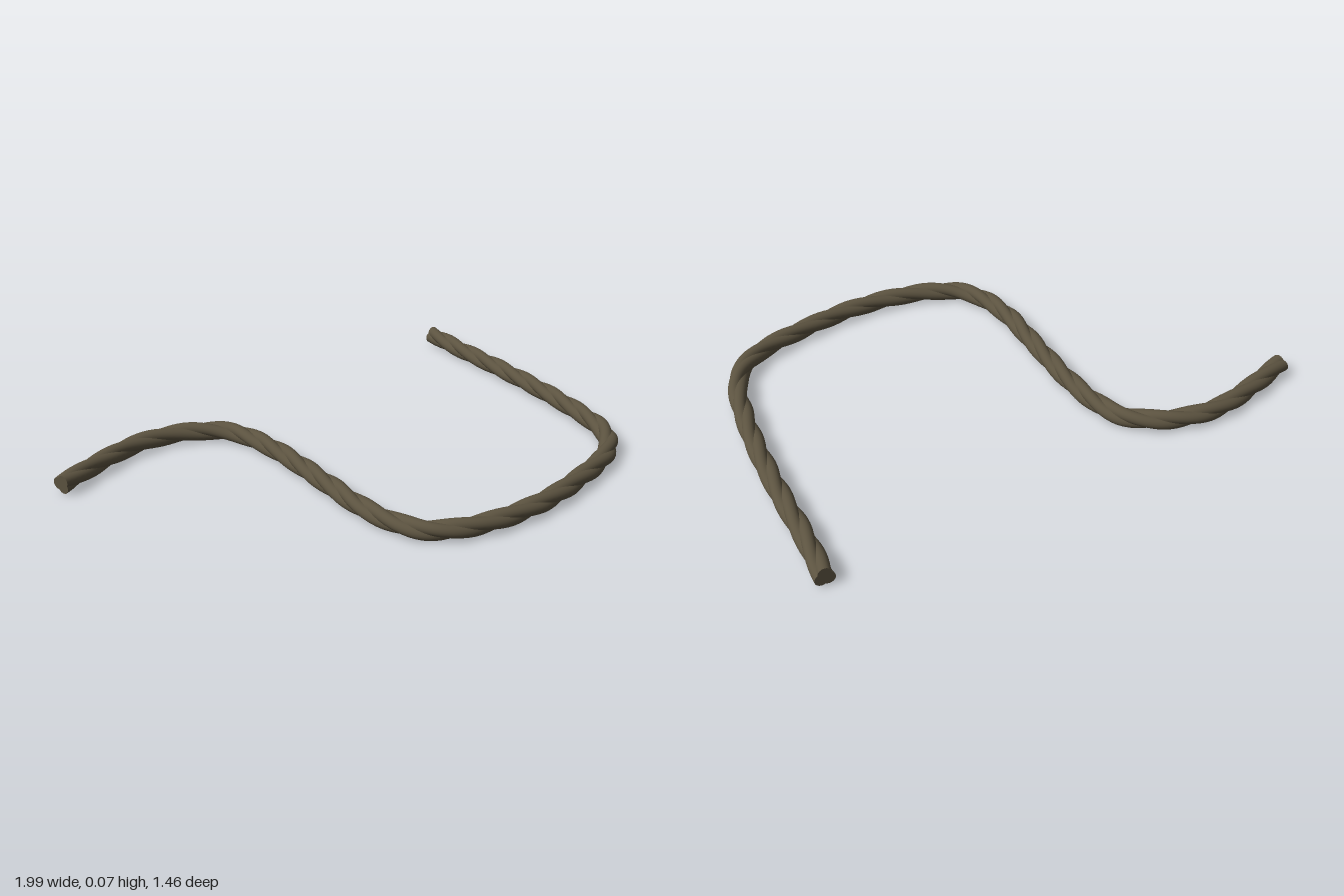
import * as THREE from 'three';

const STRANDS = 3;       // lobes laid around the rope axis
const OFFSET = 0.014;    // strand centre to rope axis
const RADIUS = 0.023;    // strand radius
const PITCH = 0.48;      // length of one full turn
const RINGS = 320;
const ARC = 10;          // facets across one strand

// Rope centreline on the ground, as x, z
const path = new THREE.CatmullRomCurve3([
  [-0.98, -0.27], [-0.80, -0.36], [-0.66, -0.415], [-0.54, -0.43], [-0.40, -0.405],
  [-0.29, -0.335], [-0.235, -0.22], [-0.20, -0.065], [-0.17, 0.19], [-0.145, 0.405],
  [-0.095, 0.555], [-0.03, 0.635], [0.085, 0.68], [0.245, 0.693], [0.43, 0.67],
  [0.62, 0.61], [0.81, 0.525], [0.90, 0.44], [0.945, 0.335], [0.96, 0.14],
  [0.955, -0.075], [0.935, -0.315], [0.91, -0.53], [0.895, -0.73],
].map(([x, z]) => new THREE.Vector3(x, OFFSET + RADIUS, z)), false, 'centripetal');
path.arcLengthDivisions = 1000;

// Point on one strand: t along the rope, a across the strand
function surfacePoint(t, strand, a) {
  const centre = path.getPointAt(t);
  const up = new THREE.Vector3(0, 1, 0);
  const side = new THREE.Vector3().crossVectors(up, path.getTangentAt(t)).normalize();
  const rho = OFFSET * Math.cos(a) + Math.sqrt(RADIUS ** 2 - (OFFSET * Math.sin(a)) ** 2);
  const phi = a + Math.PI * 2 * (strand / STRANDS + t * path.getLength() / PITCH);
  return centre.addScaledVector(side, rho * Math.cos(phi)).addScaledVector(up, rho * Math.sin(phi));
}

const arcAngle = (j) => (j / ARC - 0.5) * (Math.PI * 2 / STRANDS);

function makeGeometry(points, index) {
  const g = new THREE.BufferGeometry().setFromPoints(points);
  g.setIndex(index);
  g.computeVertexNormals();
  return g;
}

// Twisted outer face of one strand; separate strands keep the grooves sharp
function strandGeometry(strand) {
  const points = [], index = [];
  for (let i = 0; i <= RINGS; i++) {
    for (let j = 0; j <= ARC; j++) points.push(surfacePoint(i / RINGS, strand, arcAngle(j)));
  }
  for (let i = 0; i < RINGS; i++) {
    for (let j = 0; j < ARC; j++) {
      const a = i * (ARC + 1) + j, c = a + ARC + 1;
      index.push(a, a + 1, c, a + 1, c + 1, c);
    }
  }
  return makeGeometry(points, index);
}

// Flat cut end
function capGeometry(t) {
  const points = [path.getPointAt(t)], index = [];
  for (let s = 0; s < STRANDS; s++) {
    for (let j = 0; j < ARC; j++) points.push(surfacePoint(t, s, arcAngle(j)));
  }
  const n = STRANDS * ARC;
  for (let k = 0; k < n; k++) {
    const a = 1 + k, b = 1 + (k + 1) % n;
    if (t > 0.5) index.push(0, a, b);
    else index.push(0, b, a);
  }
  return makeGeometry(points, index);
}

export function createModel() {
  const rope = new THREE.Group();
  rope.name = 'rope';
  const fibre = new THREE.MeshStandardMaterial({ color: 0x5c5340 });
  fibre.name = 'olive brown fibre';

  const add = (geometry, name) => {
    const mesh = new THREE.Mesh(geometry, fibre);
    mesh.name = name;
    rope.add(mesh);
  };
  for (let s = 0; s < STRANDS; s++) add(strandGeometry(s), `strand${s + 1}`);
  add(capGeometry(0), 'startCut');
  add(capGeometry(1), 'endCut');
  return rope;
}
